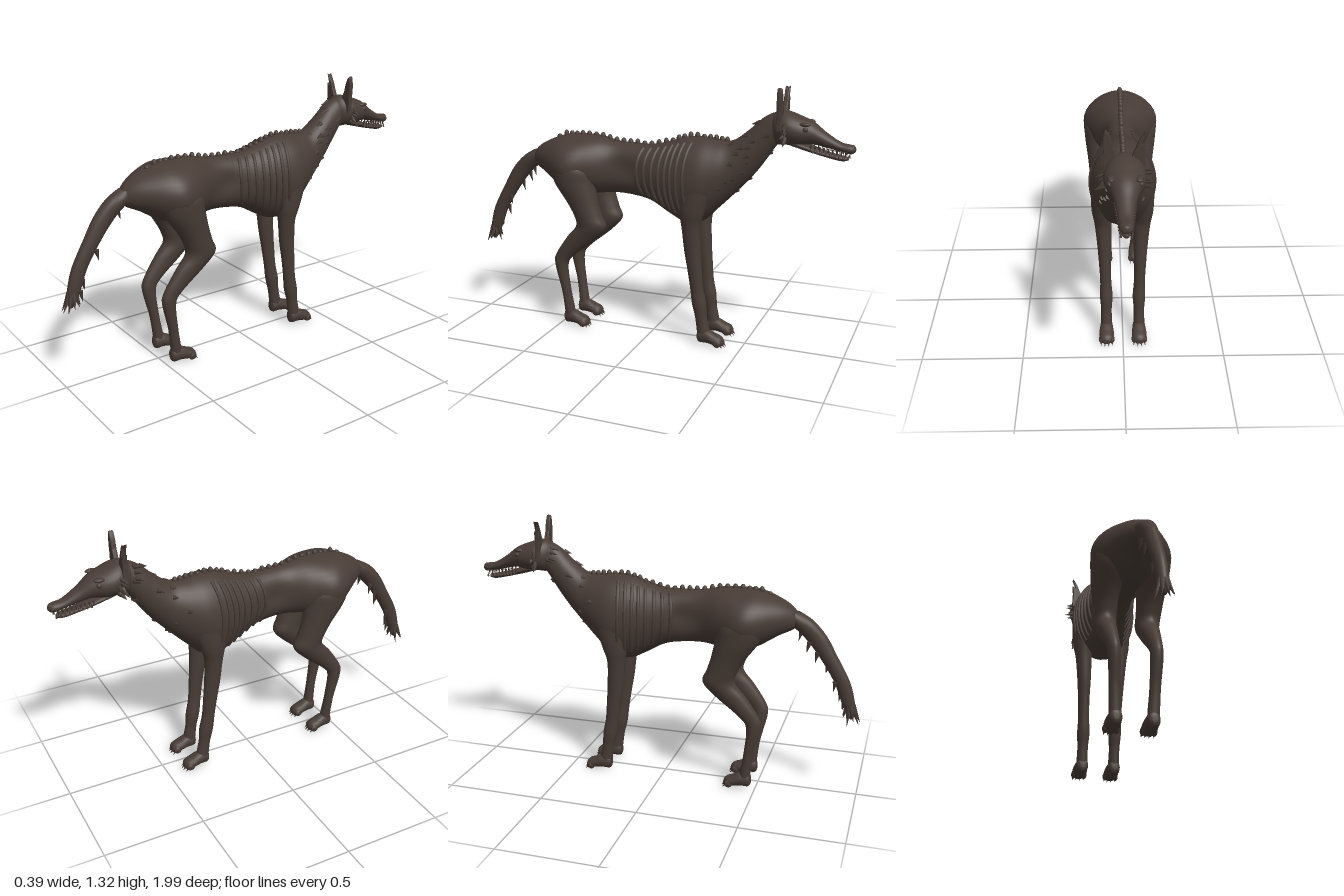
import * as THREE from 'three';

const hide = new THREE.MeshStandardMaterial({ color: 0x483c36, side: THREE.DoubleSide });
hide.name = 'dark brown hide';

// Station: [x, y, z, radius across, radius along the other axis]
const band = (z, top, bottom, rx) => [0, (top + bottom) / 2, z, rx, (top - bottom) / 2];

// Smooth interpolation through the stations, t from 0 to 1
function sample(st, t) {
  const p = t * (st.length - 1), i = Math.min(Math.floor(p), st.length - 2), f = p - i;
  const at = k => st[Math.max(0, Math.min(st.length - 1, k))];
  return st[0].map((_, k) => {
    const [a, b, c, d] = [at(i - 1)[k], at(i)[k], at(i + 1)[k], at(i + 2)[k]];
    return b + 0.5 * f * (c - a + f * (2 * a - 5 * b + 4 * c - d + f * (3 * (b - c) + d - a)));
  });
}

// Loft of elliptical rings; axis 'z' runs towards -z, axis 'y' runs downwards
function loft(st, axis, sides = 24, steps = 6, rule = null) {
  const rings = (st.length - 1) * steps, pos = [], idx = [];
  for (let r = 0; r <= rings; r++) {
    const [x, y, z, ra, rb] = sample(st, r / rings);
    for (let s = 0; s < sides; s++) {
      const a = s / sides * Math.PI * 2, c = Math.cos(a) * ra, d = Math.sin(a) * rb;
      const p = axis === 'z' ? [x + c, y - d, z] : [x + c, y, z + d];
      pos.push(...(rule ? rule(p) : p));
      if (r < rings) {
        const i = r * sides + s, j = r * sides + (s + 1) % sides;
        idx.push(i, j, i + sides, j, j + sides, i + sides);
      }
    }
  }
  const n = pos.length / 3;
  pos.push(...st[0].slice(0, 3), ...st[st.length - 1].slice(0, 3));
  for (let s = 0; s < sides; s++) {
    const e = (s + 1) % sides, l = rings * sides;
    idx.push(n, e, s, n + 1, l + s, l + e);
  }
  const g = new THREE.BufferGeometry();
  g.setAttribute('position', new THREE.Float32BufferAttribute(pos, 3));
  g.setIndex(idx);
  g.computeVertexNormals();
  return g;
}

const torso = [
  band(0.68, 0.91, 0.87, 0.02), band(0.64, 0.955, 0.84, 0.06), band(0.58, 0.99, 0.81, 0.11),
  band(0.48, 1.025, 0.75, 0.18), band(0.40, 1.03, 0.73, 0.195), band(0.30, 1.03, 0.73, 0.15),
  band(0.20, 1.01, 0.74, 0.1), band(0.10, 1.005, 0.735, 0.095), band(0, 1.005, 0.715, 0.108),
  band(-0.10, 1.03, 0.66, 0.13), band(-0.18, 1.055, 0.625, 0.15), band(-0.27, 1.06, 0.635, 0.155),
  band(-0.35, 1.05, 0.71, 0.13), band(-0.42, 1.055, 0.78, 0.1), band(-0.50, 1.115, 0.865, 0.08),
  band(-0.56, 1.17, 0.94, 0.068), band(-0.62, 1.2, 1.03, 0.06), band(-0.66, 1.18, 1.08, 0.05),
];
const head = [
  band(-0.59, 1.17, 1.08, 0.03), band(-0.63, 1.21, 1.05, 0.068), band(-0.68, 1.21, 1.05, 0.09),
  band(-0.74, 1.19, 1.05, 0.085), band(-0.80, 1.165, 1.06, 0.06), band(-0.86, 1.12, 1.05, 0.042),
  band(-0.93, 1.078, 1.035, 0.032), band(-0.98, 1.068, 1.025, 0.028), band(-1.0, 1.053, 1.037, 0.012),
];
const jaw = [
  band(-0.69, 1.09, 1.05, 0.05), band(-0.78, 1.06, 1.025, 0.045), band(-0.86, 1.033, 1.005, 0.034),
  band(-0.93, 1.018, 0.99, 0.026), band(-0.965, 1.01, 0.992, 0.012),
];
const tail = [
  [0, 0.93, 0.63, 0.035, 0.05], [0, 0.89, 0.675, 0.045, 0.07], [0, 0.82, 0.75, 0.037, 0.06],
  [0, 0.73, 0.815, 0.034, 0.047], [0, 0.6, 0.893, 0.029, 0.04], [0, 0.5, 0.928, 0.027, 0.034],
  [0, 0.44, 0.945, 0.02, 0.024], [0, 0.41, 0.95, 0.008, 0.008],
];
const hindLeg = [
  [0.09, 0.95, 0.42, 0.05, 0.06], [0.1, 0.88, 0.41, 0.09, 0.11], [0.105, 0.8, 0.395, 0.085, 0.11],
  [0.11, 0.7, 0.35, 0.066, 0.085], [0.108, 0.63, 0.32, 0.06, 0.077], [0.105, 0.57, 0.305, 0.056, 0.082],
  [0.103, 0.5, 0.365, 0.044, 0.08], [0.1, 0.4, 0.46, 0.031, 0.052], [0.098, 0.34, 0.484, 0.03, 0.036],
  [0.093, 0.2, 0.463, 0.026, 0.025], [0.088, 0.09, 0.448, 0.028, 0.027], [0.086, 0.03, 0.444, 0.028, 0.028],
];
const foreLeg = [
  [0.08, 0.97, -0.26, 0.04, 0.05], [0.09, 0.9, -0.255, 0.06, 0.09], [0.097, 0.8, -0.25, 0.056, 0.088],
  [0.1, 0.7, -0.24, 0.05, 0.065], [0.095, 0.62, -0.235, 0.042, 0.047], [0.09, 0.5, -0.243, 0.035, 0.042],
  [0.088, 0.4, -0.255, 0.03, 0.037], [0.085, 0.3, -0.267, 0.028, 0.034], [0.083, 0.22, -0.28, 0.032, 0.037],
  [0.083, 0.15, -0.291, 0.027, 0.031], [0.083, 0.08, -0.303, 0.028, 0.033], [0.083, 0.03, -0.306, 0.028, 0.03],
];

export function createModel() {
  const model = new THREE.Group();
  let seed = 7;
  const rnd = () => (seed = (seed * 16807) % 2147483647) / 2147483647;
  const add = (name, geo, parent = model) => {
    const m = new THREE.Mesh(geo, hide);
    m.name = name;
    parent.add(m);
    return m;
  };
  const ball = (name, x, y, z, a, b, c, parent) => {
    const m = add(name, new THREE.SphereGeometry(1, 14, 10), parent);
    m.position.set(x, y, z);
    m.scale.set(a, b, c);
  };
  // Pointed lock, tooth or claw from one point to another
  const spike = (name, from, to, r, parent) => {
    const a = new THREE.Vector3(...from), d = new THREE.Vector3(...to).sub(a);
    const m = add(name, new THREE.ConeGeometry(r, d.length(), 6), parent);
    m.position.copy(a).addScaledVector(d, 0.5);
    m.quaternion.setFromUnitVectors(new THREE.Vector3(0, 1, 0), d.normalize());
  };

  // Torso and neck, with sunken flanks
  const flank = ([x, y, z]) => {
    const dent = Math.exp(-(((z - 0.12) / 0.08) ** 2) - ((y - 0.88) / 0.06) ** 2);
    return [x * (1 - 0.22 * dent), y, z];
  };
  add('torso', loft(torso, 'z', 36, 6, flank));
  add('tail', loft(tail, 'y', 16));
  add('head', loft(head, 'z', 28));
  add('lowerJaw', loft(jaw, 'z', 20));
  ball('nose', 0, 1.052, -0.985, 0.02, 0.016, 0.015);

  // Knobbly spine
  for (let i = 0; i < 27; i++) {
    const t = 0.15 + i * 0.0225, [, y, z, , ry] = sample(torso, t);
    ball('vertebra', 0, y + ry, z, 0.014, 0.012 + rnd() * 0.012, 0.013);
  }

  for (const s of [1, -1]) {
    // Ribs following the chest surface
    for (let i = 0; i < 8; i++) {
      const [, y, z, rx, ry] = sample(torso, 0.45 + i * 0.024), pts = [];
      for (let k = 0; k <= 8; k++) {
        const a = 1.1 - k * 0.24;
        pts.push(new THREE.Vector3(s * Math.cos(a) * rx, y + Math.sin(a) * ry, z + 0.02 * Math.sin(k / 8 * Math.PI)));
      }
      add('rib', new THREE.TubeGeometry(new THREE.CatmullRomCurve3(pts), 20, 0.009, 6));
    }

    // Legs and paws
    for (const [name, st] of [['hindLeg', hindLeg], ['foreLeg', foreLeg]]) {
      const leg = new THREE.Group();
      leg.name = name;
      model.add(leg);
      const own = st.map(([x, ...rest]) => [s * x, ...rest]);
      add('limb', loft(own, 'y', 20), leg);
      const [x, , z] = own[own.length - 1];
      add('paw', loft([
        [x, 0.05, z + 0.034, 0.012, 0.015], [x, 0.052, z + 0.022, 0.028, 0.036], [x, 0.052, z - 0.02, 0.034, 0.036],
        [x, 0.04, z - 0.06, 0.038, 0.03], [x, 0.033, z - 0.09, 0.033, 0.025], [x, 0.03, z - 0.105, 0.015, 0.012],
      ], 'z', 16), leg);
      for (let k = -1.5; k <= 1.5; k++) {
        const tz = z - 0.09 + Math.abs(k) * 0.008;
        ball('toe', x + k * 0.018, 0.027, tz, 0.013, 0.02, 0.022, leg);
        spike('claw', [x + k * 0.018, 0.025, tz - 0.012], [x + k * 0.019, 0.006, tz - 0.03], 0.007, leg);
      }
    }

    // Ears: thin upright flaps, the right one torn
    const ear = new THREE.Shape();
    ear.moveTo(0.025, 1.185);
    ear.lineTo(0.052, 1.245);
    if (s > 0) {
      ear.quadraticCurveTo(0.062, 1.3, 0.08, 1.318);
      ear.quadraticCurveTo(0.092, 1.28, 0.085, 1.22);
    } else {
      ear.quadraticCurveTo(0.062, 1.28, 0.078, 1.295);
      ear.lineTo(0.088, 1.318);
      ear.lineTo(0.07, 1.29);
      ear.lineTo(0.066, 1.25);
      ear.lineTo(0.085, 1.262);
      ear.lineTo(0.08, 1.22);
    }
    ear.lineTo(0.086, 1.13);
    ear.closePath();
    const earMesh = add('ear', new THREE.ExtrudeGeometry(ear, {
      depth: 0.012, bevelEnabled: true, bevelSize: 0.004, bevelThickness: 0.006, bevelSegments: 2,
    }));
    earMesh.position.z = -0.66;
    earMesh.scale.x = s;

    // Eyes, brows and teeth
    ball('eye', s * 0.066, 1.135, -0.775, 0.01, 0.012, 0.014);
    ball('brow', s * 0.058, 1.158, -0.77, 0.016, 0.01, 0.028);
    for (let k = 0; k < 9; k++) {
      const z = -0.8 - k * 0.02, w = s * (0.045 - k * 0.0025), y = 1.06 - k * 0.003;
      spike('upperTooth', [w, y, z], [w, y - 0.026, z], 0.006);
      spike('lowerTooth', [w * 0.9, y - 0.035, z - 0.01], [w * 0.9, y - 0.012, z - 0.01], 0.006);
    }

    // Ragged cheek and neck fur
    for (let k = 0; k < 6; k++) {
      const y = 1.06 + k * 0.015;
      spike('cheekTuft', [s * 0.07, y + 0.02, -0.69 + rnd() * 0.02], [s * (0.105 + rnd() * 0.03), y, -0.65 - rnd() * 0.04], 0.015);
    }
    for (let k = 0; k < 16; k++) {
      const [, y, z, rx, ry] = sample(torso, 0.72 + rnd() * 0.22), a = -1.5 + rnd() * 2.9;
      const x = s * Math.cos(a) * rx * 0.95, h = y + Math.sin(a) * ry * 0.95;
      spike('neckTuft', [x, h, z], [x * 1.12, h - 0.02 + 0.012 * Math.sin(a), z + 0.04], 0.014);
    }
  }

  // Shaggy tail end and loose locks along it
  for (let k = 0; k < 9; k++) {
    const a = k / 9 * Math.PI * 2, c = Math.cos(a), d = Math.sin(a);
    spike('tailTuft', [c * 0.012, 0.48, 0.94 + d * 0.012], [c * 0.045, 0.38 + rnd() * 0.05, 0.95 + d * 0.045], 0.016);
  }
  for (let k = 0; k < 7; k++) {
    const [, y, z, rx, rz] = sample(tail, 0.25 + k * 0.08), w = (rnd() - 0.5) * 2 * rx;
    spike('tailLock', [w, y, z - rz * 0.7], [w * 1.2, y - 0.055, z - rz * 0.9], 0.013);
  }
  return model;
}
